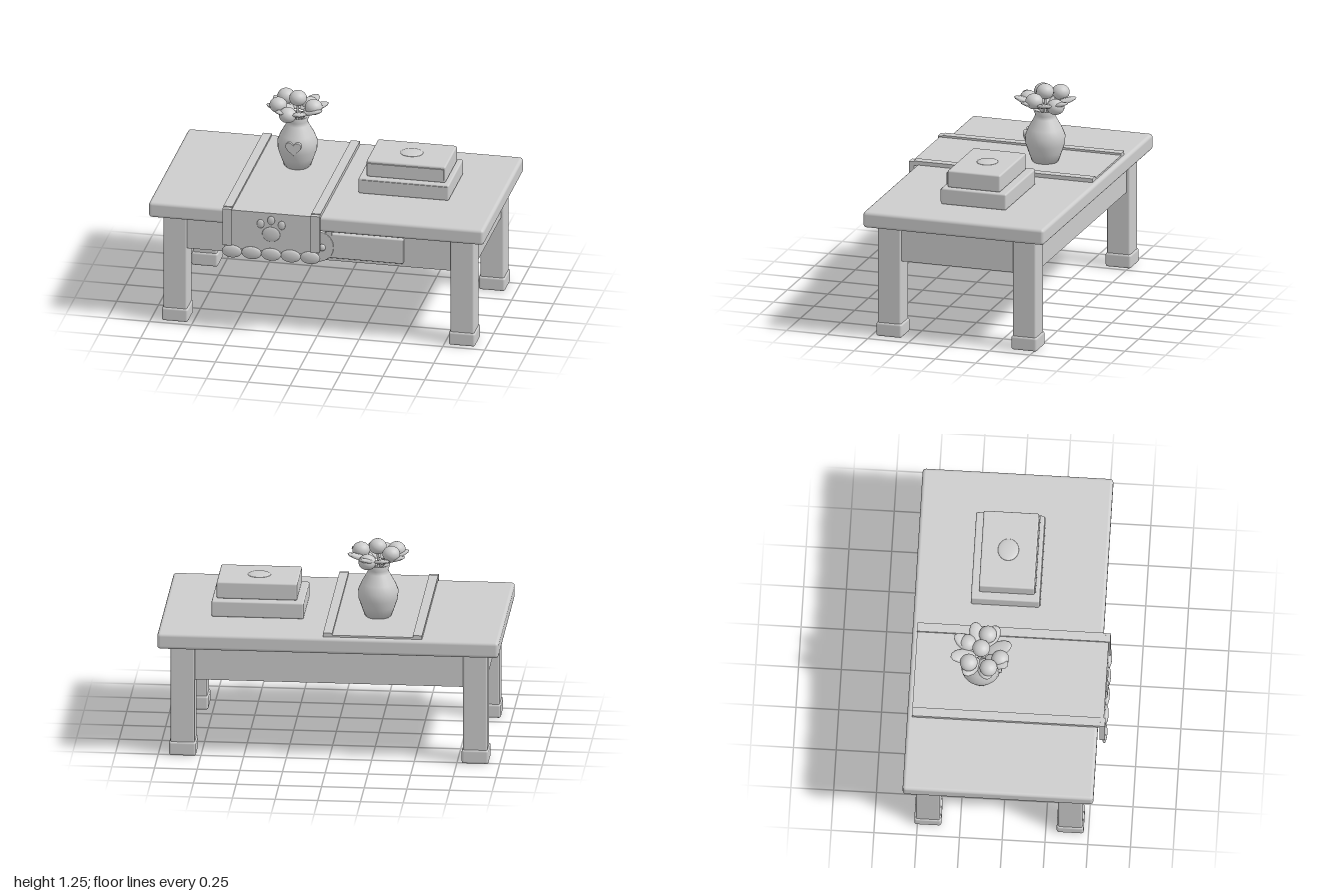
import * as THREE from 'three';
import { RoundedBoxGeometry } from 'three/addons/geometries/RoundedBoxGeometry.js';

export function createModel() {
  const model = new THREE.Group();
  const grey = new THREE.MeshStandardMaterial({ color: 0xcccccc });
  grey.name = 'plain grey';

  const add = (name, geometry, x = 0, y = 0, z = 0, parent = model) => {
    const mesh = new THREE.Mesh(geometry, grey);
    mesh.name = name;
    mesh.position.set(x, y, z);
    parent.add(mesh);
    return mesh;
  };
  // Rounded box given by its limits on each axis
  const box = (name, [x0, x1], [y0, y1], [z0, z1], r = 0.01) => add(name,
    r ? new RoundedBoxGeometry(x1 - x0, y1 - y0, z1 - z0, 3, r)
      : new THREE.BoxGeometry(x1 - x0, y1 - y0, z1 - z0),
    (x0 + x1) / 2, (y0 + y1) / 2, (z0 + z1) / 2);
  const ellipsoid = (name, rx, ry, rz, x, y, z, parent = model) =>
    add(name, new THREE.SphereGeometry(1, 20, 14).scale(rx, ry, rz), x, y, z, parent);
  const extrude = (shape, depth, bevel) => new THREE.ExtrudeGeometry(shape, {
    depth, bevelEnabled: bevel > 0, bevelSize: bevel, bevelThickness: bevel, bevelSegments: 2, curveSegments: 16,
  });

  // Table
  box('tableTop', [-1, 1], [0.675, 0.772], [-0.583, 0.532], 0.02);
  box('apron', [-0.91, 0.91], [0.465, 0.68], [-0.49, 0.45], 0);
  for (const x of [-0.857, 0.857]) {
    for (const z of [-0.439, 0.393]) {
      box('leg', [x - 0.071, x + 0.071], [0.06, 0.68], [z - 0.071, z + 0.071], 0.01);
      box('foot', [x - 0.079, x + 0.079], [0, 0.085], [z - 0.079, z + 0.079], 0.014);
    }
  }

  // Drawer with an animal face handle
  box('drawerFront', [-0.507, 0.507], [0.49, 0.645], [0.435, 0.475], 0.008);
  const handle = new THREE.Group();
  handle.name = 'drawerHandle';
  model.add(handle);
  const disc = new THREE.Shape();
  disc.absellipse(0, 0.56, 0.09, 0.092, 0, Math.PI * 2);
  add('handlePlate', extrude(disc, 0.022, 0.004), 0, 0, 0.456, handle);
  for (const s of [-1, 1]) {
    const ear = new THREE.Shape([[0.02, 0.635], [0.085, 0.59], [0.08, 0.672]]
      .map(([x, y]) => new THREE.Vector2(s * x, y)));
    add('handleEar', extrude(ear, 0.02, 0), 0, 0, 0.456, handle);
    ellipsoid('handleEye', 0.02, 0.021, 0.013, s * 0.028, 0.56, 0.491, handle);
  }

  // Runner: cloth, raised borders, front drop and scalloped edge
  const cx = -0.26, half = 0.289;
  box('runnerCloth', [cx - half, cx + half], [0.768, 0.783], [-0.555, 0.563], 0);
  box('runnerDrop', [cx - half, cx + half], [0.58, 0.783], [0.543, 0.565], 0);
  for (const s of [-1, 1]) {
    const x = [cx + s * (half - 0.026) - 0.027, cx + s * (half - 0.026) + 0.027];
    box('runnerBorder', x, [0.772, 0.795], [-0.555, 0.545], 0);
    box('dropBorder', x, [0.56, 0.79], [0.543, 0.574], 0);
  }
  for (let i = -2; i <= 2; i++) {
    ellipsoid('scallop', 0.06, 0.039, 0.016, cx + i * 0.117, 0.523, 0.569);
  }
  box('scallopHem', [cx - half + 0.01, cx + half - 0.01], [0.54, 0.585], [0.552, 0.564], 0);

  // Paw print on the drop
  ellipsoid('pawPad', 0.054, 0.046, 0.01, cx, 0.65, 0.567);
  for (const s of [-1, 0, 1]) {
    ellipsoid('pawToe', 0.022, 0.027, 0.01, cx + s * 0.063, s ? 0.712 : 0.738, 0.567);
  }

  // Vase
  const vz = -0.167;
  const profile = [[0, 0.783], [0.078, 0.783], [0.098, 0.84], [0.115, 0.89], [0.118, 0.94],
    [0.1, 0.985], [0.066, 1.045], [0.058, 1.065], [0.07, 1.096], [0.055, 1.096], [0, 1.07]];
  add('vase', new THREE.LatheGeometry(profile.map(([x, y]) => new THREE.Vector2(x, y)), 28), cx, 0, vz);
  const heart = new THREE.Shape();
  heart.moveTo(0, -0.038);
  heart.bezierCurveTo(-0.03, -0.012, -0.045, 0, -0.045, 0.017);
  heart.bezierCurveTo(-0.045, 0.042, -0.01, 0.045, 0, 0.018);
  heart.bezierCurveTo(0.01, 0.045, 0.045, 0.042, 0.045, 0.017);
  heart.bezierCurveTo(0.045, 0, 0.03, -0.012, 0, -0.038);
  add('heart', extrude(heart, 0.018, 0.002), cx, 0.93, vz + 0.102);

  // Leaves fanned out around the rim
  for (let i = 0; i < 8; i++) {
    const leaf = new THREE.Group();
    leaf.name = 'leafStalk';
    leaf.position.set(cx, 1.1, vz);
    leaf.rotation.y = (i + 0.35) / 8 * Math.PI * 2;
    const blade = add('leaf', new THREE.SphereGeometry(1, 8, 6).rotateZ(Math.PI / 2)
      .scale(0.08, 0.016, 0.046), 0.107, 0.046, 0, leaf);
    blade.rotation.z = 0.32;
    model.add(leaf);
  }

  // Round blossoms
  for (const [x, y, z] of [[-0.257, 1.207, -0.167], [-0.342, 1.185, -0.235], [-0.203, 1.135, -0.25],
    [-0.364, 1.175, -0.118], [-0.157, 1.172, -0.134], [-0.294, 1.143, -0.053]]) {
    ellipsoid('blossom', 0.052, 0.046, 0.052, x, y, z);
    const stem = new THREE.LineCurve3(new THREE.Vector3(cx, 1.06, vz), new THREE.Vector3(x, y, z));
    add('stem', new THREE.TubeGeometry(stem, 1, 0.008, 6));
  }

  // Two stacked books with spine plates and a cover medallion
  box('lowerBook', [0.17, 0.71], [0.772, 0.87], [-0.253, 0.148], 0.01);
  box('lowerSpine', [0.18, 0.7], [0.785, 0.86], [0.144, 0.153], 0);
  box('upperBook', [0.212, 0.684], [0.87, 0.973], [-0.208, 0.117], 0.01);
  box('upperSpine', [0.222, 0.674], [0.888, 0.957], [0.115, 0.124], 0);
  ellipsoid('medallion', 0.068, 0.012, 0.062, 0.447, 0.973, -0.05);

  return model;
}
